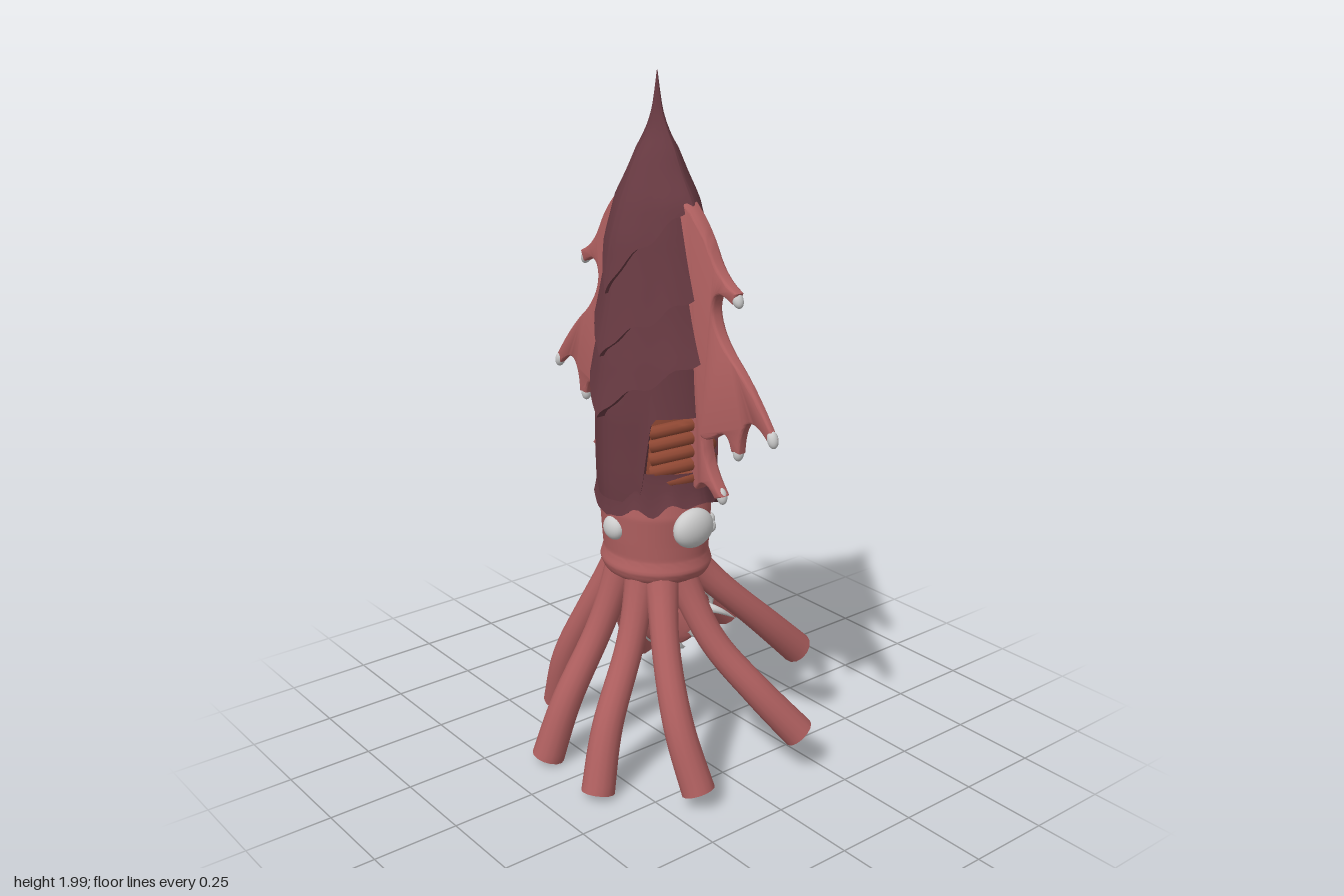
import * as THREE from 'three';
import { toCreasedNormals } from 'three/addons/utils/BufferGeometryUtils.js';
import { ParametricGeometry } from 'three/addons/geometries/ParametricGeometry.js';

const mat = (color) => new THREE.MeshStandardMaterial({ color, side: THREE.DoubleSide });
const FLESH = mat(0xb06060), SHELL = mat(0x683a42), GILL = mat(0x8c4632), GREY = mat(0xcccccc);
const V = (x, y, z) => new THREE.Vector3(x, y, z);
const CZ = 0.04; // z of the body axis

// Body profile rows: y, half width, depth to the front, depth to the back
const BODY = [
  [2.0, 0.001, 0.001, 0.001], [1.95, 0.008, 0.008, 0.008], [1.89, 0.02, 0.016, 0.016], [1.84, 0.043, 0.03, 0.03],
  [1.8, 0.067, 0.055, 0.055], [1.74, 0.092, 0.083, 0.08], [1.67, 0.13, 0.112, 0.108], [1.58, 0.143, 0.138, 0.128],
  [1.45, 0.16, 0.155, 0.145], [1.25, 0.185, 0.175, 0.158], [1.1, 0.185, 0.182, 0.165], [0.9, 0.185, 0.175, 0.162],
  [0.75, 0.18, 0.16, 0.15],
];
const HEAD = [
  [0.9, 0.15, 0.15, 0.13], [0.8, 0.168, 0.165, 0.138], [0.72, 0.163, 0.16, 0.135], [0.67, 0.162, 0.155, 0.13],
  [0.635, 0.172, 0.165, 0.14], [0.61, 0.16, 0.155, 0.13], [0.585, 0.125, 0.12, 0.1], [0.55, 0.07, 0.07, 0.06],
  [0.54, 0.001, 0.001, 0.001],
];

function radii(rows, y) {
  let i = 0;
  while (i < rows.length - 2 && y < rows[i + 1][0]) i++;
  const [a, b] = [rows[i], rows[i + 1]];
  const t = THREE.MathUtils.clamp((a[0] - y) / (a[0] - b[0]), 0, 1);
  return [1, 2, 3].map((k) => THREE.MathUtils.lerp(a[k], b[k], t));
}

// Point on a body section; a power above 1 sharpens the section towards a diamond
function onBody(rows, y, angle, offset = 0, power = 1) {
  const [w, front, back] = radii(rows, y);
  const c = Math.cos(angle), s = Math.sin(angle);
  const x = Math.sign(c) * Math.abs(c) ** power * (w + offset);
  const z = Math.sign(s) * Math.abs(s) ** power * ((s > 0 ? front : back) + offset);
  return V(x, y, CZ + z);
}

function add(parent, name, geometry, material) {
  const mesh = new THREE.Mesh(geometry, material);
  mesh.name = name;
  parent.add(mesh);
  return mesh;
}

function surface(nu, nv, f) {
  const g = new ParametricGeometry((u, v, p) => p.copy(f(u * Math.PI * 2, v)), nu, nv);
  return toCreasedNormals(g, 0.7);
}

// Flared armour plate with a hem that varies around the body, closed by an inward lip
function plate(y0, hem, flare, power) {
  const n = 16;
  return surface(96, n, (a, v) => {
    const t = Math.min(1, v * n / (n - 1));
    const lip = v > 1 - 0.5 / n ? -0.03 : 0;
    const y = THREE.MathUtils.lerp(y0, hem(a), t);
    return onBody(BODY, y, a, (flare * t * t + lip) * Math.min(1, (2 - y) * 8), power);
  });
}

// Pointed hem: side height, front and back points, and a small scallop
const vHem = (side, front, back, wave) => (a) => {
  const k = 1 - Math.abs(Math.cos(a));
  const end = Math.sin(a) > 0 ? front : back;
  return side + (end - side) * k ** 0.85 + wave * Math.sin(a * 2) ** 2 * Math.cos(a * 12);
};

// Round limb with radius r(t) and a flat end
function limb(points, r, segs = 24, sides = 14) {
  const curve = new THREE.CatmullRomCurve3(points);
  const g = new THREE.TubeGeometry(curve, segs, 1, sides);
  const pos = g.attributes.position, p = V(0, 0, 0);
  for (let i = 0; i < pos.count; i++) {
    const ring = Math.min(segs - 1, Math.floor(i / (sides + 1)));
    const centre = curve.getPointAt(ring / segs);
    const last = i >= segs * (sides + 1);
    const own = curve.getPointAt(last ? 1 : ring / segs);
    p.fromBufferAttribute(pos, i).sub(own).multiplyScalar(last ? 0 : r(ring / (segs - 1))).add(centre);
    pos.setXYZ(i, p.x, p.y, p.z);
  }
  return toCreasedNormals(g, 0.8);
}

function ball(parent, name, at, scale, material = GREY) {
  const m = add(parent, name, new THREE.SphereGeometry(1, 24, 16), material);
  m.position.copy(at);
  m.scale.set(...scale);
  return m;
}

// Webbed side fin, thinner towards its tips
function finGeometry(m) {
  const s = new THREE.Shape();
  s.moveTo(0.08, 1.7);
  s.lineTo(0.13, 1.675);
  s.quadraticCurveTo(0.2, 1.62, 0.235, 1.555);
  s.quadraticCurveTo(0.27, 1.49, 0.332, 1.465);
  s.lineTo(0.322, 1.445);
  s.quadraticCurveTo(0.25, 1.485, 0.245, 1.41);
  s.quadraticCurveTo(0.25, 1.34, 0.34, 1.27);
  s.quadraticCurveTo(0.41, 1.21, 0.48, 1.115);
  s.lineTo(0.464, 1.108);
  s.quadraticCurveTo(0.41, 1.16, 0.378, 1.13);
  s.quadraticCurveTo(0.355, 1.1, 0.352, 1.045);
  s.lineTo(0.332, 1.045);
  s.quadraticCurveTo(0.315, 1.11, 0.265, 1.07);
  s.quadraticCurveTo(0.22, 1.04, 0.21, 1.06);
  s.quadraticCurveTo(0.215, 0.97, 0.284, 0.9);
  s.lineTo(0.268, 0.893);
  s.quadraticCurveTo(0.22, 0.95, 0.19, 0.9);
  s.lineTo(0.12, 0.92);
  const g = new THREE.ExtrudeGeometry(s, {
    depth: 1, curveSegments: 8, bevelThickness: 0.5, bevelSize: 0.006, bevelSegments: 3,
  });
  const pos = g.attributes.position;
  for (let i = 0; i < pos.count; i++) {
    const x = pos.getX(i);
    const half = THREE.MathUtils.mapLinear(x, 0.1, 0.48, 0.026, 0.009);
    pos.setXYZ(i, x * m, pos.getY(i), CZ + (pos.getZ(i) - 0.5) * half);
  }
  if (m < 0) { // keep the faces outward after mirroring
    for (let i = 0; i < pos.count; i += 3) {
      const a = V().fromBufferAttribute(pos, i), b = V().fromBufferAttribute(pos, i + 1);
      pos.setXYZ(i, b.x, b.y, b.z);
      pos.setXYZ(i + 1, a.x, a.y, a.z);
    }
  }
  return toCreasedNormals(g, 0.8);
}

export function createModel() {
  const model = new THREE.Group();
  model.name = 'armouredSquid';

  // Armour plates from the tip down; the fourth opens over the gills
  const gillHem = (a) => 1.1 - 0.25 * THREE.MathUtils.smoothstep(Math.abs(Math.sin(a)), 0.68, 0.84);
  add(model, 'tipPlate', plate(2, vHem(1.665, 1.43, 1.45, 0.012), 0.022, 1.4), SHELL);
  add(model, 'upperPlate', plate(1.72, vHem(1.43, 1.26, 1.2, 0.014), 0.026, 1.35), SHELL);
  add(model, 'middlePlate', plate(1.5, vHem(1.26, 1.09, 0.93, 0.014), 0.03, 1.35), SHELL);
  add(model, 'lowerPlate', plate(1.32, gillHem, 0.012, 1.25), SHELL);
  add(model, 'collarPlate', plate(0.94, vHem(0.85, 0.8, 0.77, 0.018), 0.018, 1.15), SHELL);
  add(model, 'mantle', surface(64, 8, (a, v) => onBody(BODY, 1.25 - 0.4 * v, a, -0.022, 1.25)), GILL);

  // Head
  add(model, 'head', surface(64, 48, (a, v) => onBody(HEAD, 0.9 - 0.36 * v, a)), FLESH);
  ball(model, 'frontEye', V(0, 0.755, 0.198), [0.038, 0.035, 0.025]);

  // Mouth: a bowl tilted down and backwards with a rounded lip
  const lip = (a, r, d) => V(Math.cos(a) * 0.12 * r, 0.44 - Math.sin(a) * 0.07 * r - d * 0.75, -0.005 + Math.sin(a) * 0.075 * r - d * 0.66);
  const bowl = new THREE.SplineCurve([
    [0.5, -0.16], [0.85, -0.07], [1.02, 0], [0.98, 0.025], [0.82, 0.015], [0.6, -0.04], [0.01, -0.07],
  ].map(([r, d]) => new THREE.Vector2(r, d)));
  add(model, 'mouth', surface(40, 24, (a, v) => {
    const q = bowl.getPoint(v);
    return lip(a, q.x, q.y);
  }), FLESH);
  ball(model, 'throat', V(0, 0.465, 0.02), [0.06, 0.05, 0.05], GILL);
  for (let i = 0; i < 12; i++) {
    const a = (i + 0.5) / 12 * Math.PI * 2;
    const len = i % 2 ? 0.075 : 0.05;
    add(model, 'tooth', limb([lip(a, 0.92, 0), lip(a, 1.0, len * 0.5), lip(a, 0.78, len)],
      (t) => 0.014 * (1 - t) + 0.0005, 8, 8), GREY);
  }

  for (const m of [1, -1]) {
    const side = new THREE.Group();
    side.name = m > 0 ? 'leftSide' : 'rightSide';
    model.add(side);
    const P = (x, y, z) => V(x * m, y, z);

    // Fin with rounded claws on its points
    add(side, 'fin', finGeometry(m), FLESH);
    for (const [x, y, tilt] of [[0.33, 1.45, 0.5], [0.474, 1.11, 0.3], [0.342, 1.038, 0], [0.277, 0.895, 0.3]]) {
      ball(side, 'finClaw', P(x, y, CZ), [0.015, 0.024, 0.015]).rotation.z = tilt * m;
    }

    // Gill ribs
    for (let i = 0; i < 5; i++) {
      const pts = [-1, -0.6, -0.2, 0.2, 0.6, 1].map((t) => {
        const p = onBody(BODY, 0.895 + i * 0.038 + 0.03 * (1 - t * t), t * 0.9, -0.012, 1.25);
        return P(p.x, p.y, p.z);
      });
      add(side, 'gillRib', limb(pts, () => 0.019, 16, 10), GILL);
    }

    // Eyes
    ball(side, 'mainEye', P(0.17, 0.77, 0.05), [0.037, 0.057, 0.066]);
    for (const [x, z] of [[0.035, -0.094], [0.09, -0.073], [0.135, -0.038]]) {
      ball(side, 'rearEye', P(x, 0.742, z), [0.02, 0.02, 0.018]);
    }

    // Tentacles, flared at the root
    const arms = {
      frontTentacle: [[0.045, 0.62, 0.13], [0.072, 0.42, 0.2], [0.1, 0.2, 0.305], [0.128, 0.0, 0.365]],
      frontSideTentacle: [[0.09, 0.62, 0.1], [0.18, 0.43, 0.155], [0.27, 0.24, 0.182], [0.35, 0.035, 0.165]],
      rearSideTentacle: [[0.1, 0.62, 0.05], [0.2, 0.42, 0.0], [0.3, 0.27, -0.085], [0.385, 0.115, -0.195]],
      rearTentacle: [[0.065, 0.62, -0.02], [0.115, 0.51, -0.12], [0.148, 0.39, -0.24], [0.168, 0.25, -0.38]],
    };
    for (const [name, pts] of Object.entries(arms)) {
      add(side, name, limb(pts.map((p) => P(...p)), (t) => 0.034 + 0.014 * t + 0.02 * (1 - t) ** 6), FLESH);
    }

    // Large curved fangs beside the mouth
    add(side, 'fang', limb([P(0.11, 0.5, 0.0), P(0.18, 0.5, -0.03), P(0.192, 0.45, -0.105)],
      (t) => 0.02 * (1 - t) + 0.0005, 12, 10), GREY);
    add(side, 'rearFang', limb([P(0.06, 0.52, -0.04), P(0.075, 0.5, -0.09), P(0.06, 0.41, -0.11)],
      (t) => 0.018 * (1 - t) + 0.0005, 12, 10), GREY);
  }
  return model;
}
